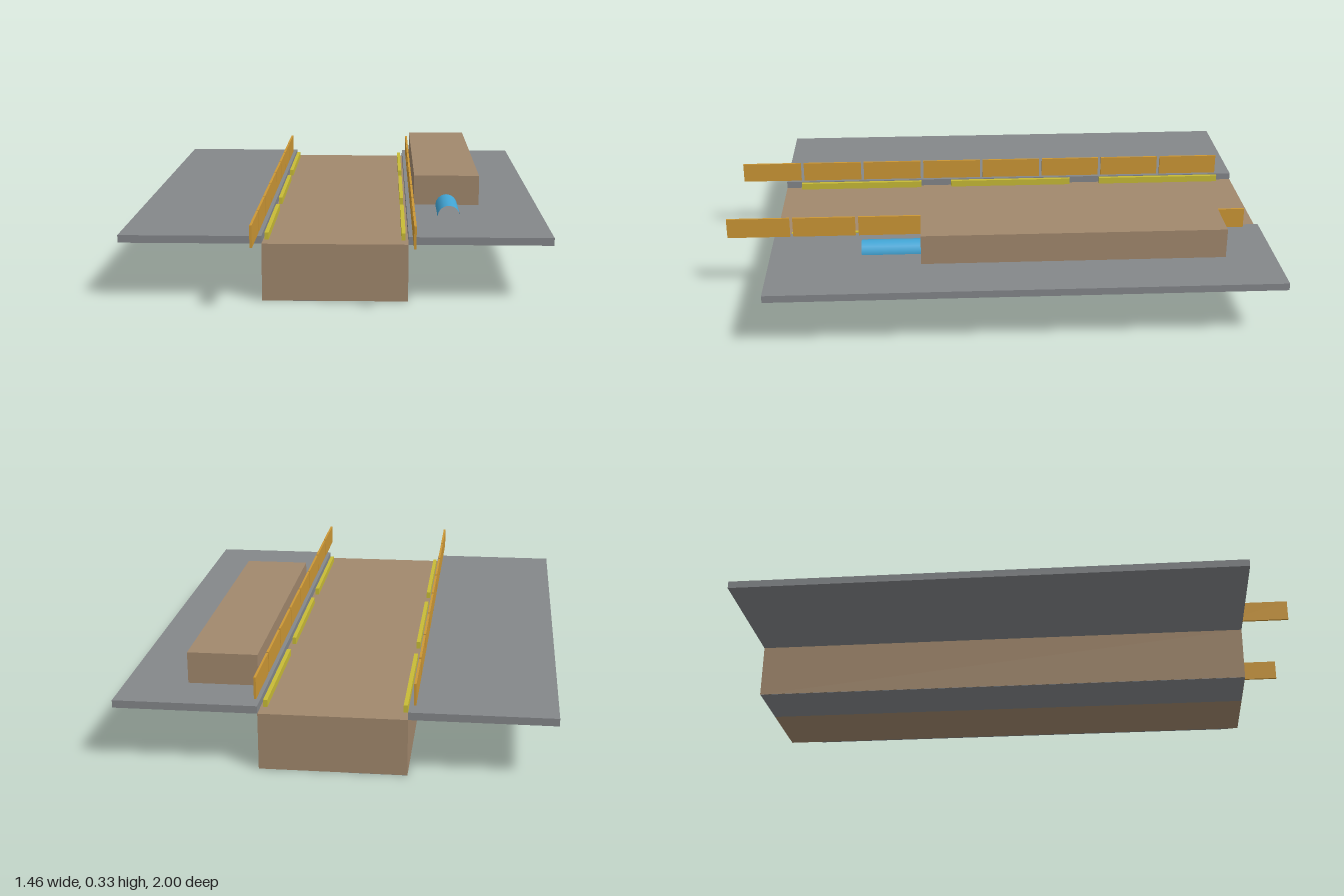
import * as THREE from 'three';

function material(name, color, side = THREE.FrontSide) {
  const m = new THREE.MeshStandardMaterial({ color, side });
  m.name = name;
  return m;
}

export function createModel() {
  const group = new THREE.Group();
  group.name = 'trenchSection';

  const grey = material('pavement grey', 0x84878a);
  const brown = material('earth brown', 0xa1886d);
  const orange = material('barrier orange', 0xcc9735);
  const yellow = material('rail yellow', 0xc8bb36);
  const blue = material('pipe blue', 0x42a5d5, THREE.DoubleSide);

  // Box given by its extents along each axis
  function box(name, mat, [x0, x1], [y0, y1], [z0, z1]) {
    const mesh = new THREE.Mesh(new THREE.BoxGeometry(x1 - x0, y1 - y0, z1 - z0), mat);
    mesh.position.set((x0 + x1) / 2, (y0 + y1) / 2, (z0 + z1) / 2);
    mesh.name = name;
    group.add(mesh);
  }

  const ground = 0.197, surface = 0.223;
  const ends = [-1, 0.826];

  // Central earth block with a partly exposed grey base
  box('earthBlock', brown, [-0.246, 0.246], [0.001, ground], ends);
  box('basePlate', grey, [-0.245, -0.03], [0, 0.003], [-0.999, 0.825]);

  // Pavement on both sides
  box('leftPavement', grey, [0.246, 0.73], [ground, surface], ends);
  box('rightPavement', grey, [-0.73, -0.246], [ground, surface], ends);

  // Earth heap on the left pavement
  box('earthHeap', brown, [0.275, 0.516], [surface, 0.333], [-0.82, 0.28]);

  for (const side of [-1, 1]) {
    const label = side > 0 ? 'left' : 'right';
    const span = (a, b) => (side > 0 ? [a, b] : [-b, -a]);

    // Row of eight barrier panels
    for (let i = 0; i < 8; i++) {
      const z = 1 - i * 0.2437;
      box(`${label}Barrier${i + 1}`, orange, span(0.26, 0.268), [surface, 0.298], [z - 0.232, z]);
    }

    // Three low rails along the block edge
    for (let i = 0; i < 3; i++) {
      const z = 0.765 - i * 0.609;
      const x = side > 0 ? [0.223, 0.237] : [-0.241, -0.227];
      box(`${label}Rail${i + 1}`, yellow, x, [ground, 0.222], [z - 0.487, z]);
    }
  }

  // Line of open pipes half sunk into the pavement
  for (let i = 0; i < 3; i++) {
    const pipe = new THREE.Mesh(new THREE.CylinderGeometry(0.04, 0.04, 0.336, 16, 1, true), blue);
    pipe.rotation.x = Math.PI / 2;
    pipe.position.set(0.395, surface, 0.327 - i * 0.365);
    pipe.name = `pipe${i + 1}`;
    group.add(pipe);
  }

  return group;
}
